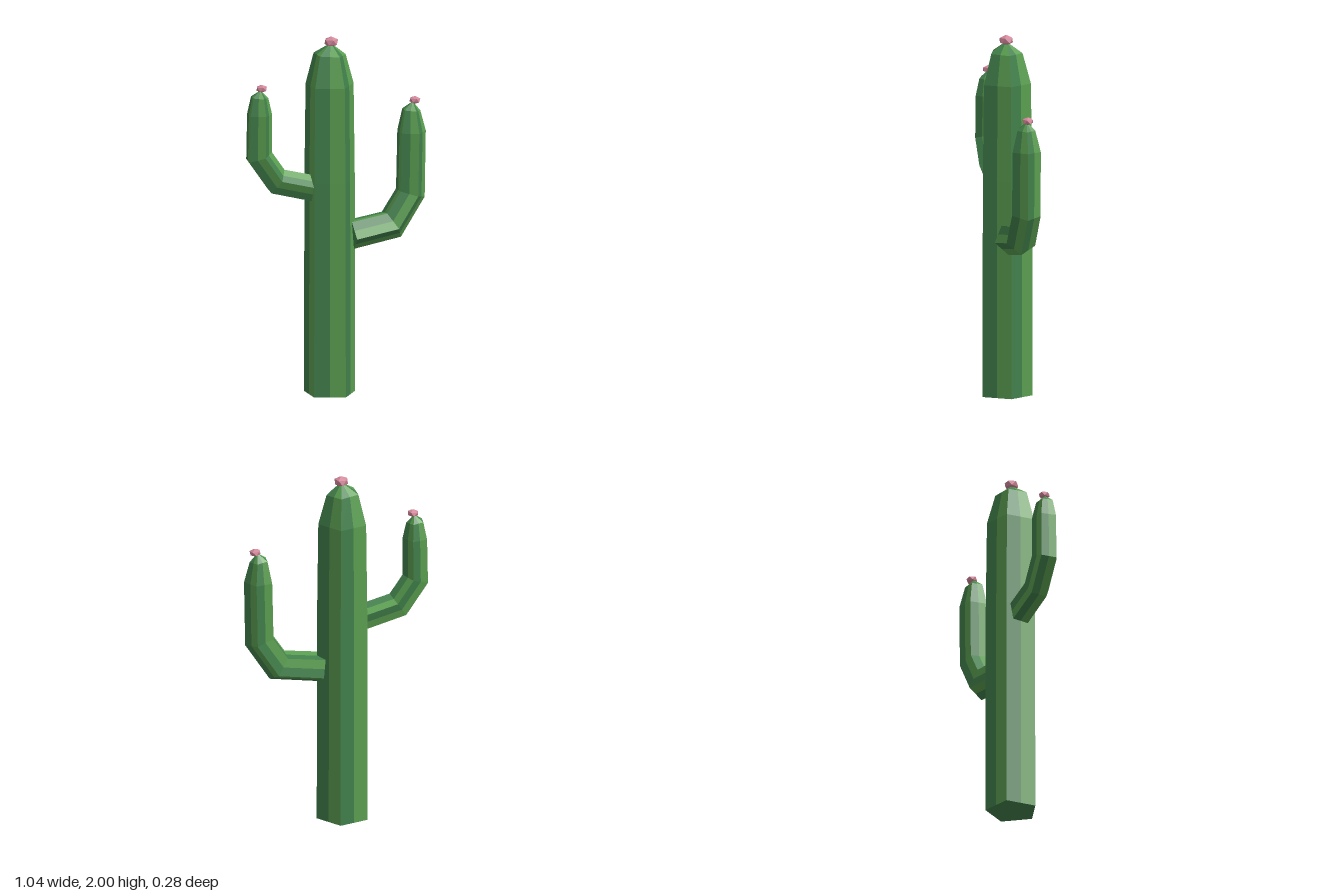
import * as THREE from 'three';

const lightGreen = new THREE.MeshStandardMaterial({ color: 0x5a9e50 });
lightGreen.name = 'lightGreen';
const deepGreen = new THREE.MeshStandardMaterial({ color: 0x41804b });
deepGreen.name = 'deepGreen';
const pink = new THREE.MeshStandardMaterial({ color: 0xd4889b });
pink.name = 'flowerPink';

const SIDES = 5;

// Sweeps a pentagon along stations [outward, y, radius] in a vertical plane.
// Every flat side is split lengthwise into a light and a deep green half.
function makeStem(name, origin, heading, turn, stations) {
  const out = new THREE.Vector3(heading[0], 0, heading[1]).normalize();
  const across = new THREE.Vector3().crossVectors(out, new THREE.Vector3(0, 1, 0));
  const angles = [];
  for (let i = 1; i < stations.length; i++) {
    angles.push(Math.atan2(stations[i][1] - stations[i - 1][1], stations[i][0] - stations[i - 1][0]));
  }
  const centre = ([s, y]) => new THREE.Vector3(origin[0], y, origin[1]).addScaledVector(out, s);

  const rings = stations.map((st, k) => {
    const before = angles[Math.max(k - 1, 0)];
    const after = angles[Math.min(k, angles.length - 1)];
    const tilt = (before + after) / 2;
    const mitre = 1 / Math.cos((after - before) / 2);
    const normal = out.clone().multiplyScalar(Math.sin(tilt));
    normal.y = -Math.cos(tilt);
    const corners = [];
    for (let i = 0; i < SIDES; i++) {
      const a = turn + (i / SIDES) * Math.PI * 2;
      corners.push(centre(st)
        .addScaledVector(normal, st[2] * mitre * Math.cos(a))
        .addScaledVector(across, st[2] * Math.sin(a)));
    }
    // Corners alternate with side midpoints
    return corners.flatMap((c, i) => [c, c.clone().lerp(corners[(i + 1) % SIDES], 0.5)]);
  });

  const halves = [[], []];
  const count = SIDES * 2;
  for (let i = 0; i < count; i++) {
    const n = (i + 1) % count;
    for (let k = 0; k < rings.length - 1; k++) {
      const lower = rings[k], upper = rings[k + 1];
      halves[i % 2].push(lower[i], upper[i], lower[n], lower[n], upper[i], upper[n]);
    }
    // Flat base
    halves[1].push(centre(stations[0]), rings[0][i], rings[0][n]);
  }

  const geometry = new THREE.BufferGeometry().setFromPoints([...halves[0], ...halves[1]]);
  geometry.addGroup(0, halves[0].length, 0);
  geometry.addGroup(halves[0].length, halves[1].length, 1);
  geometry.computeVertexNormals();
  const mesh = new THREE.Mesh(geometry, [lightGreen, deepGreen]);
  mesh.name = name;
  return mesh;
}

// Squashed faceted bud with a point facing up
function makeFlower(name, x, y, z, radius, height, tilt) {
  const geometry = new THREE.IcosahedronGeometry(1, 0);
  geometry.rotateX(-1.0172);
  geometry.scale(radius, height / 2, radius);
  geometry.computeVertexNormals();
  const mesh = new THREE.Mesh(geometry, pink);
  mesh.name = name;
  mesh.position.set(x, y, z);
  mesh.rotation.z = tilt;
  return mesh;
}

export function createModel() {
  const cactus = new THREE.Group();
  cactus.name = 'cactus';

  cactus.add(
    makeStem('trunk', [-0.042, 0], [1, 0], 0, [
      [0, 0, 0.147], [0, 1.2, 0.145], [0, 1.73, 0.138], [0, 1.9, 0.092], [0.006, 1.955, 0.012],
    ]),
    makeStem('leftArm', [0, 0.009], [1, -0.05], 0.12, [
      [0.08, 0.885, 0.086], [0.32, 0.922, 0.084], [0.427, 1.084, 0.083],
      [0.434, 1.43, 0.082], [0.433, 1.55, 0.052], [0.442, 1.59, 0.008],
    ]),
    makeStem('rightArm', [0, 0.001], [-1, 0.03], -1.76, [
      [0.1, 1.145, 0.075], [0.355, 1.212, 0.074], [0.457, 1.358, 0.074],
      [0.454, 1.595, 0.072], [0.453, 1.69, 0.05], [0.447, 1.725, 0.008],
    ]),
    makeFlower('trunkFlower', -0.033, 1.97, 0, 0.042, 0.06, 0),
    makeFlower('leftArmFlower', 0.456, 1.603, -0.018, 0.033, 0.044, -0.08),
    makeFlower('rightArmFlower', -0.44, 1.74, 0.015, 0.033, 0.044, 0.08),
  );
  return cactus;
}
